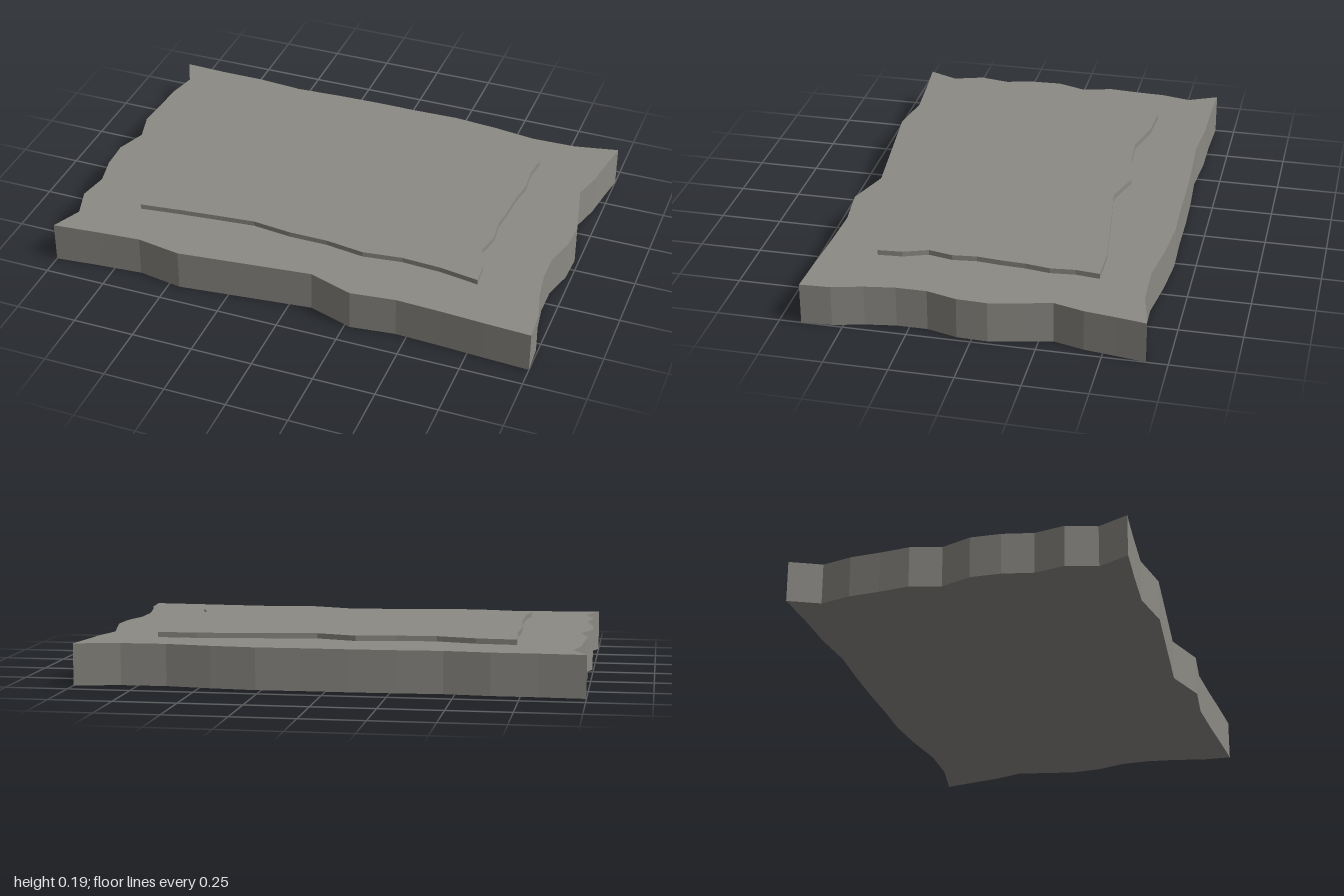
import * as THREE from 'three';

const material = new THREE.MeshStandardMaterial({ color: 0x8c8a84, flatShading: true });

// Slab with vertical walls and ragged edges. Each edge lists its offsets at
// even steps: back and front run from -x to +x, left and right from -z to +z.
function raggedSlab(name, { back, front, minX, maxX }, bottom, top) {
  const n = back.length - 1;
  const x0 = minX[0], x1 = maxX[0], z0 = back[0], z1 = front[0];
  const along = (a, b, i) => a + (b - a) * i / n;
  const points = [];
  for (let i = 0; i < n; i++) points.push([along(x0, x1, i), front[i]]);
  for (let i = n; i > 0; i--) points.push([maxX[i], along(z0, z1, i)]);
  for (let i = n; i > 0; i--) points.push([along(x0, x1, i), back[i]]);
  for (let i = 0; i < n; i++) points.push([minX[i], along(z0, z1, i)]);

  const shape = new THREE.Shape(points.map(([x, z]) => new THREE.Vector2(x, -z)));
  const geometry = new THREE.ExtrudeGeometry(shape, { depth: top - bottom, bevelEnabled: false });
  geometry.rotateX(-Math.PI / 2).translate(0, bottom, 0);
  const mesh = new THREE.Mesh(geometry, material);
  mesh.name = name;
  return mesh;
}

export function createModel() {
  const group = new THREE.Group();
  group.name = 'stoneSlab';

  // Thick base with worn edges
  group.add(raggedSlab('base', {
    back: [-0.667, -0.66, -0.66, -0.645, -0.655, -0.66, -0.66, -0.665, -0.65, -0.625, -0.63, -0.667],
    front: [0.663, 0.645, 0.63, 0.66, 0.64, 0.62, 0.6, 0.66, 0.638, 0.645, 0.655, 0.663],
    minX: [-1, -0.943, -0.97, -0.975, -0.985, -0.952, -0.995, -0.99, -0.963, -0.985, -0.947, -1],
    maxX: [1, 0.98, 0.963, 0.93, 0.957, 0.983, 0.978, 0.945, 0.945, 0.963, 0.993, 1],
  }, 0, 0.167));

  // Thin raised panel on top
  group.add(raggedSlab('raisedPanel', {
    back: [-0.44, -0.43, -0.39, -0.4, -0.428, -0.38, -0.402, -0.42, -0.44, -0.44],
    front: [0.435, 0.415, 0.398, 0.382, 0.4, 0.4, 0.422, 0.402, 0.41, 0.435],
    minX: [-0.72, -0.717, -0.706, -0.711, -0.714, -0.706, -0.7, -0.7, -0.702, -0.72],
    maxX: [0.717, 0.706, 0.715, 0.7, 0.695, 0.685, 0.695, 0.675, 0.71, 0.717],
  }, 0.167, 0.188));

  return group;
}
